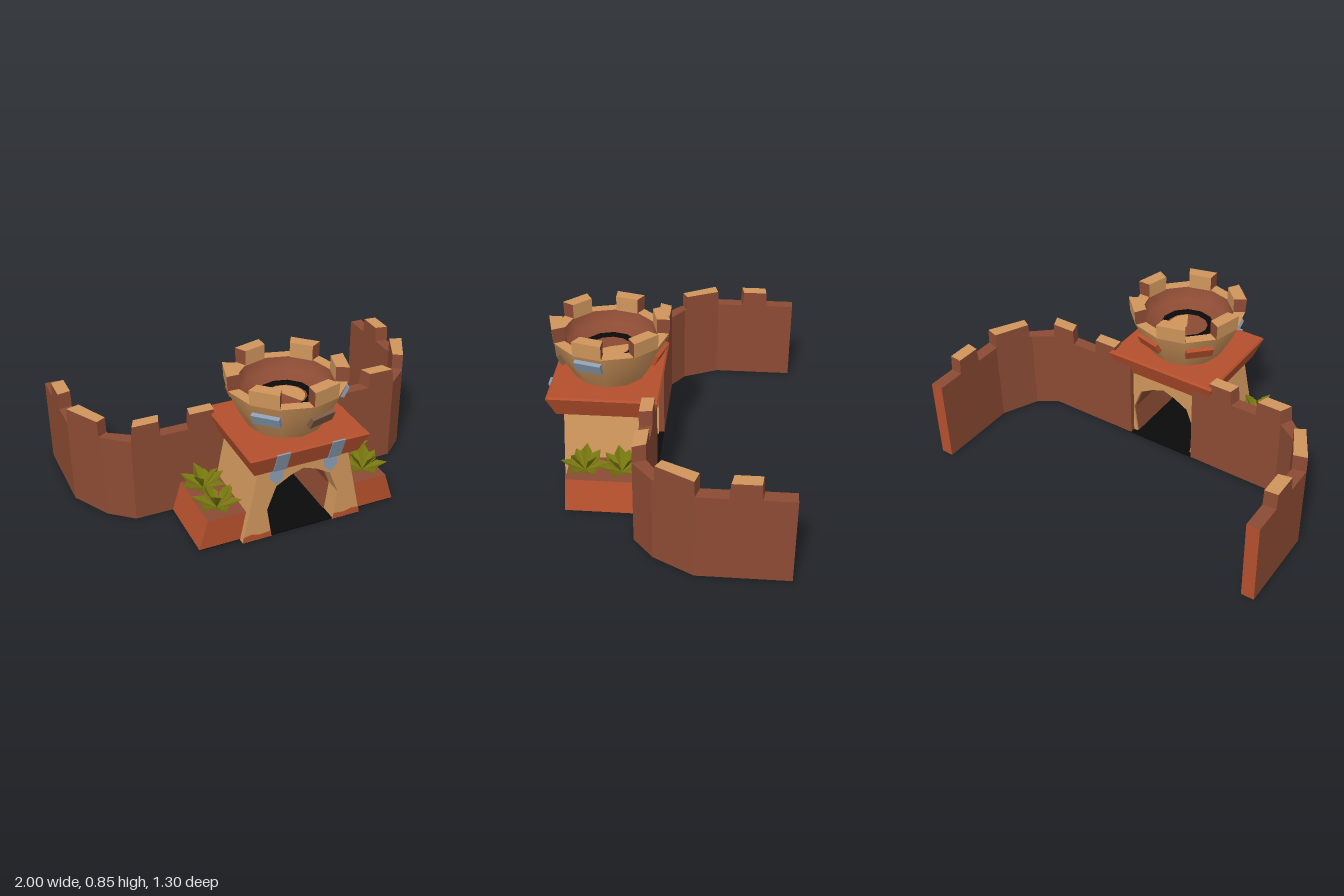
import * as THREE from 'three';

const mat = (name, color, extra = {}) => {
  const m = new THREE.MeshStandardMaterial({ color, ...extra });
  m.name = name;
  return m;
};
const lerp = THREE.MathUtils.lerp;

export function createModel() {
  const root = new THREE.Group();
  root.name = 'castleGate';
  const tan = mat('tanStone', 0xd0965c);
  const brown = mat('brownStone', 0x8c4b34);
  const brick = mat('redBrick', 0xb5502d);
  const steel = mat('blueGrey', 0x8a9db2);
  const dull = mat('dullBrown', 0x7d5c44);
  const black = mat('black', 0x0b0a0a);
  const leafGreen = mat('oliveLeaf', 0x76760f, { side: THREE.DoubleSide });

  const add = (name, geo, material, parent = root) => {
    const m = new THREE.Mesh(geo, material);
    m.name = name;
    parent.add(m);
    return m;
  };

  // Six-sided block whose corners come from fn(u, v, w), each 0 or 1
  function block(name, material, fn) {
    const g = new THREE.BoxGeometry(1, 1, 1);
    const p = g.attributes.position, idx = g.index;
    for (let i = 0; i < p.count; i++) {
      p.setXYZ(i, ...fn(p.getX(i) + 0.5, p.getY(i) + 0.5, p.getZ(i) + 0.5));
    }
    // Turn the faces round when the mapping is mirrored
    const c = [0, 1, 2].map(() => new THREE.Vector3());
    const centre = new THREE.Vector3();
    for (let i = 0; i < p.count; i++) centre.add(c[0].fromBufferAttribute(p, i));
    centre.divideScalar(p.count);
    let volume = 0;
    for (let i = 0; i < idx.count; i += 3) {
      c.forEach((v, k) => v.fromBufferAttribute(p, idx.getX(i + k)).sub(centre));
      volume += c[0].dot(c[1].clone().cross(c[2]));
    }
    if (volume < 0) {
      for (let i = 0; i < idx.count; i += 3) {
        const a = idx.getX(i);
        idx.setX(i, idx.getX(i + 1));
        idx.setX(i + 1, a);
      }
    }
    g.computeVertexNormals();
    return add(name, g, material);
  }

  const extrude = (pts, depth, z) => new THREE.ExtrudeGeometry(
    new THREE.Shape(pts.map(([x, y]) => new THREE.Vector2(x, y))),
    { depth, bevelEnabled: false }).translate(0, 0, z);

  // Curved curtain walls: stations of outer x, z and inner x, z
  const stations = [
    [0.2, 0.137, 0.2, 0.07], [0.76, 0.137, 0.73, 0.07], [0.885, 0.03, 0.835, 0],
    [1, -0.18, 0.93, -0.2], [1, -0.65, 0.93, -0.65],
  ];
  const merlons = [[0, 0.18, 0.45], [0, 0.72, 1], [2, 0.06, 1], [3, 0.33, 0.66]];
  for (const s of [1, -1]) {
    const wallPoint = (k, t, w) => {
      const a = stations[k], b = stations[k + 1];
      return [s * lerp(lerp(a[2], b[2], t), lerp(a[0], b[0], t), w),
        lerp(lerp(a[3], b[3], t), lerp(a[1], b[1], t), w)];
    };
    for (let k = 0; k < 4; k++) {
      const end = k === 3 ? brick : brown;
      block('curtainWall', [end, brown, brown, brown, brown, brown], (u, v, w) => {
        const [x, z] = wallPoint(k, u, w);
        return [x, 0.005 + v * 0.47, z];
      });
    }
    for (const [k, t0, t1] of merlons) {
      block('wallMerlon', [brown, brown, tan, brown, brown, brown], (u, v, w) => {
        const inset = v * 0.015;
        const [x, z] = wallPoint(k, u ? t1 - inset : t0 + inset, w);
        return [x, 0.47 + v * 0.09, z];
      });
    }
  }

  // Gatehouse body with a tunnel through it
  const half = [[0.175, 0], [0.2, 0.17], [0.15, 0.3], [0.07, 0.345]];
  const arch = [...half.map(([x, y]) => [-x, y]), [0, 0.37], ...half.slice().reverse()];
  add('gatehouse', extrude([[-0.335, 0], ...arch, [0.335, 0], [0.245, 0.43], [-0.245, 0.43]],
    0.455, 0.1), tan);
  const inner = arch.map(([x, y]) => [x * 0.975, y * 0.985]);
  add('tunnelLining', extrude([...arch, ...inner.reverse()], 0.35, 0.11), brown);
  add('gateFloor', new THREE.BoxGeometry(0.66, 0.008, 0.48).translate(0, 0.004, 0.312), black);
  add('planterBase', new THREE.BoxGeometry(1.1, 0.006, 0.38).translate(0, 0.003, 0.328), black);

  for (const s of [1, -1]) {
    // Worn brown stone at the foot of each leg
    add('legFoot', extrude([[0.178, 0.004], [0.334, 0.004], [0.328, 0.035], [0.29, 0.042],
      [0.24, 0.03], [0.184, 0.036]].map(([x, y]) => [s * x, y]), 0.006, 0.553), brick);

    // Banner lying over the slab and down the front
    block('bannerTop', steel, (u, v, w) =>
      [s * (0.115 + u * 0.07), 0.42 + v * 0.118, 0.585 + v * 0.046 + w * 0.012]);
    add('bannerTail', extrude([[0.115, 0.43], [0.185, 0.43], [0.185, 0.35], [0.15, 0.31],
      [0.115, 0.35]].map(([x, y]) => [s * x, y]), 0.008, 0.554), steel);

    // Planter with sloping sides and soil
    block('planter', [brick, brick, brown, black, brick, brick], (u, v, w) =>
      [s * (u ? 0.557 - v * 0.05 : 0.32 - v * 0.04), 0.005 + v * 0.16, 0.13 + w * 0.39]);
  }

  // Hanging portcullis spikes
  for (const x of [-0.09, 0, 0.09]) {
    add('portcullisSpike', extrude([[x - 0.012, 0.38], [x - 0.024, 0.325], [x, 0.275],
      [x + 0.024, 0.325], [x + 0.012, 0.38]], 0.03, 0.42), black);
  }
  add('portcullisBar', new THREE.BoxGeometry(0.22, 0.018, 0.03).translate(0, 0.343, 0.435), black);

  // Flared slab above the gate
  block('slab', brick, (u, v, w) => {
    const hx = 0.285 + v * 0.04;
    return [u ? hx : -hx, 0.42 + v * 0.11, w ? 0.59 + v * 0.045 : 0.09 - v * 0.04];
  });
  block('slabTop', brick, (u, v, w) => {
    const hx = 0.325 - v * 0.008;
    return [u ? hx : -hx, 0.53 + v * 0.01, w ? 0.635 - v * 0.008 : 0.05 + v * 0.008];
  });

  // Twelve-sided turret bowl
  const cz = 0.335;
  const lathe = (name, pts, m) => add(name, new THREE.LatheGeometry(
    pts.map(([x, y]) => new THREE.Vector2(x, y)), 12).translate(0, 0, cz), m);
  lathe('turretBowl', [[0.195, 0.535], [0.222, 0.58], [0.25, 0.63], [0.285, 0.7], [0.31, 0.765]], tan);
  lathe('turretRim', [[0.31, 0.765], [0.25, 0.765]], tan);
  lathe('turretInside', [[0.25, 0.765], [0.225, 0.7], [0.13, 0.67]], brown);
  lathe('hatchRing', [[0.146, 0.672], [0.146, 0.682], [0.115, 0.682], [0.115, 0.668]], black);
  lathe('hatch', [[0.12, 0.67], [0, 0.67]], brown);
  add('hatchPatch', new THREE.CylinderGeometry(0.1, 0.1, 0.006, 12, 1, false, 0.5, 3)
    .translate(0, 0.672, cz), tan);

  // Six turret merlons, one on every second side
  for (let i = 0; i < 6; i++) {
    block('turretMerlon', [brown, brown, tan, tan, tan, tan], (u, v, w) => {
      const a = (i * 60 + (u ? 29.5 : 0.5)) * Math.PI / 180;
      const r = w ? 0.312 + v * 0.005 : 0.248;
      return [r * Math.sin(a), 0.762 + v * 0.083, cz + r * Math.cos(a)];
    });
  }

  // Raised bricks round the bowl: angle, height, colour
  for (const [deg, y, m] of [[15, 0.662, dull], [75, 0.708, steel], [165, 0.68, brick],
    [225, 0.68, brick], [315, 0.682, steel]]) {
    const a = deg * Math.PI / 180, r = 0.262 + (y - 0.66) * 0.4;
    const b = add('turretBrick', new THREE.BoxGeometry(0.145, 0.062, 0.036), m);
    b.rotation.set(0.42, a, 0, 'YXZ');
    b.position.set(r * Math.sin(a), y, cz + r * Math.cos(a));
  }

  // Folded leaf reaching along +z
  function leaf(length, width, rise) {
    const g = new THREE.BufferGeometry();
    g.setAttribute('position', new THREE.Float32BufferAttribute([
      0, 0, 0, -width, rise * 0.75, length * 0.55, 0, rise, length,
      width, rise * 0.75, length * 0.55, 0, rise * 0.5, length * 0.55], 3));
    g.setIndex([0, 4, 1, 0, 3, 4, 1, 4, 2, 4, 3, 2]);
    const flat = g.toNonIndexed();
    flat.computeVertexNormals();
    return flat;
  }
  const lowLeaf = leaf(0.13, 0.038, 0.055), highLeaf = leaf(0.08, 0.03, 0.115);
  for (const s of [1, -1]) {
    for (const [z, turn] of [[0.235, 0.3], [0.425, 0]]) {
      const plant = new THREE.Group();
      plant.name = 'plant';
      plant.position.set(s * 0.42, 0.168, z);
      for (let i = 0; i < 6; i++) {
        add('lowLeaf', lowLeaf, leafGreen, plant).rotation.y = s * (turn + i * Math.PI / 3);
      }
      for (let i = 0; i < 3; i++) {
        add('highLeaf', highLeaf, leafGreen, plant).rotation.y = s * (turn + 0.5 + i * Math.PI / 1.5);
      }
      root.add(plant);
    }
  }
  return root;
}
